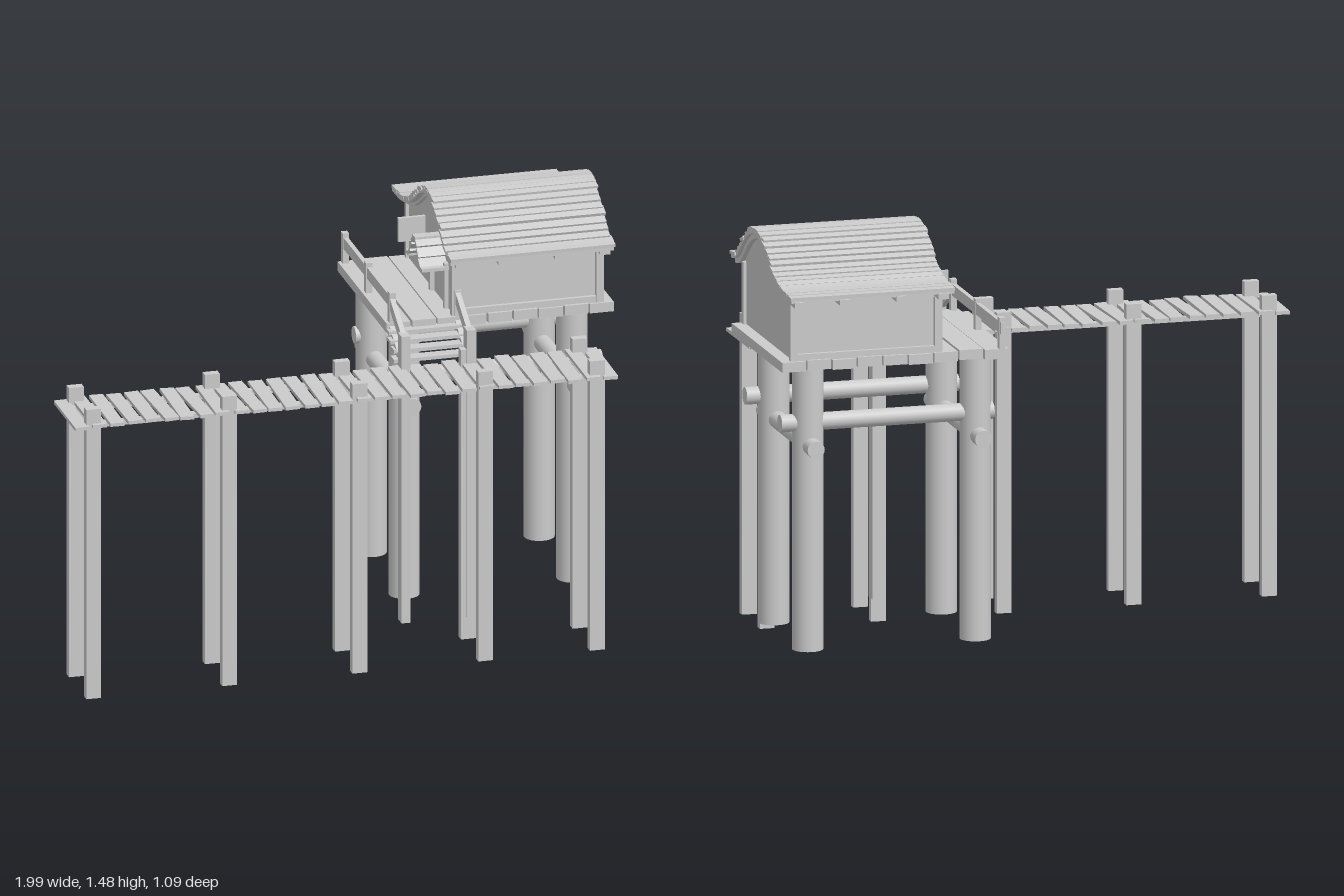
import * as THREE from 'three';

const material = new THREE.MeshStandardMaterial({ color: 0xcccccc, side: THREE.DoubleSide });

// Small repeatable irregularity for the hand-laid boards
let seed = 7;
const jitter = (a) => {
  seed = (seed * 16807) % 2147483647;
  return (seed / 2147483647 - 0.5) * 2 * a;
};

function add(parent, name, geometry, x = 0, y = 0, z = 0) {
  const m = new THREE.Mesh(geometry, material);
  m.name = name;
  m.position.set(x, y, z);
  parent.add(m);
  return m;
}

// Box given by its extents on each axis
function box(parent, name, [x0, x1], [y0, y1], [z0, z1]) {
  return add(parent, name, new THREE.BoxGeometry(x1 - x0, y1 - y0, z1 - z0),
    (x0 + x1) / 2, (y0 + y1) / 2, (z0 + z1) / 2);
}

// Bar in a z-y plane running between two [z, y] points
function slopedBar(parent, name, x, [z0, y0], [z1, y1], width, height) {
  const length = Math.hypot(z1 - z0, y1 - y0);
  const m = add(parent, name, new THREE.BoxGeometry(width, height, length), x, (y0 + y1) / 2, (z0 + z1) / 2);
  m.rotation.x = Math.atan2(-(y1 - y0), z1 - z0);
  return m;
}

// Extrude a [z, y] outline along x
function extrudeX(outline, x0, x1) {
  const shape = new THREE.Shape(outline.map(([z, y]) => new THREE.Vector2(-z, y)));
  return new THREE.ExtrudeGeometry(shape, { depth: x1 - x0, bevelEnabled: false })
    .rotateY(Math.PI / 2).translate(x0, 0, 0);
}

function group(parent, name) {
  const g = new THREE.Group();
  g.name = name;
  parent.add(g);
  return g;
}

// Underside of the swept roof as [z, y], from back eave to front eave
const roofCurve = new THREE.CatmullRomCurve3([
  [-0.54, 1.312], [-0.43, 1.318], [-0.35, 1.338], [-0.27, 1.38], [-0.19, 1.43], [-0.105, 1.455],
  [-0.01, 1.432], [0.06, 1.388], [0.11, 1.345], [0.15, 1.318], [0.2, 1.308],
].map(([z, y]) => new THREE.Vector3(0, y, z)));
const roofPoints = roofCurve.getSpacedPoints(48).map((p) => [p.z, p.y]);

// Band that follows the roof curve between two height offsets
function roofBand(low, high, x0, x1) {
  return extrudeX([
    ...roofPoints.map(([z, y]) => [z, y + low]),
    ...roofPoints.slice().reverse().map(([z, y]) => [z, y + high]),
  ], x0, x1);
}

function buildWalkway(root) {
  const g = group(root, 'walkway');
  for (let i = 0; i < 31; i++) {
    const p = add(g, 'walkwayPlank', new THREE.BoxGeometry(0.049, 0.012, 0.28),
      -0.974 + i * 0.0616, 0.983 + jitter(0.003), 0.395 + jitter(0.004));
    const loose = i > 3 && i < 16 ? 0.05 : 0.01;
    p.rotation.set(jitter(0.012), jitter(loose), jitter(0.04));
  }
  for (const z of [0.31, 0.475]) box(g, 'walkwayBeam', [-0.95, 0.88], [0.962, 0.977], [z - 0.014, z + 0.014]);
  for (const x of [-0.93, -0.455, 0, 0.44, 0.83])
    for (const z of [0.285, 0.505])
      box(g, 'walkwayPost', [x - 0.026, x + 0.026], [0, 1.04], [z - 0.015, z + 0.015]);
}

function buildSupports(root) {
  const g = group(root, 'supports');
  const pile = new THREE.CylinderGeometry(0.053, 0.053, 0.985, 24);
  const logX = new THREE.CylinderGeometry(0.03, 0.03, 0.745, 20).rotateZ(Math.PI / 2);
  const logZ = new THREE.CylinderGeometry(0.03, 0.03, 0.635, 20).rotateX(Math.PI / 2);
  for (const x of [0.29, 0.877]) {
    for (const z of [0.027, -0.39]) add(g, 'pile', pile, x, 0.5725, z);
    add(g, 'sideLog', logZ, x, 0.79, -0.178);
    box(g, 'floorBeam', [x - 0.03, x + 0.03], [1.03, 1.066], [-0.43, 0.07]);
  }
  for (const z of [0.04, -0.39]) add(g, 'crossLog', logX, 0.602, 0.865, z);
}

function buildPlatform(root) {
  const g = group(root, 'platform');
  const count = 9, pitch = 0.8 / count;
  for (let i = 0; i < count; i++) {
    const x = 0.2 + i * pitch, d = jitter(0.004);
    box(g, 'floorPlank', [x, x + pitch - 0.006], [1.064 + d, 1.098 + d], [-0.488 + d, 0.134 + d]);
  }
  // Porch railing
  for (const z of [0.12, -0.18, -0.475]) box(g, 'railPost', [0.211, 0.233], [1.09, 1.205], [z - 0.013, z + 0.013]);
  box(g, 'porchRail', [0.214, 0.23], [1.15, 1.19], [-0.495, 0.13]);
}

function buildStairs(root) {
  const g = group(root, 'stairs');
  for (const x of [0.221, 0.45]) {
    box(g, 'stairPost', [x - 0.016, x + 0.016], [0.08, 1.11], [0.257, 0.305]);
    slopedBar(g, 'stringer', x, [0.265, 0.99], [0.125, 1.072], 0.022, 0.035);
    slopedBar(g, 'handrail', x, [0.28, 1.083], [0.12, 1.17], 0.018, 0.036);
  }
  box(g, 'handrailPost', [0.44, 0.462], [1.09, 1.19], [0.107, 0.132]);
  for (let i = 0; i < 4; i++) {
    const z = 0.235 - i * 0.031, y = 1.0 + i * 0.022;
    box(g, 'tread', [0.195 + jitter(0.006), 0.465 + jitter(0.006)], [y, y + 0.012], [z - 0.022, z + 0.022]);
  }
}

function buildHut(root) {
  const g = group(root, 'hut');
  // Walls with curved gables
  const top = roofPoints.filter(([z]) => z > -0.46 && z < 0.108);
  const [zBack, zFront] = [-0.462, 0.11];
  add(g, 'walls', extrudeX([[zBack, 1.095], ...[[zBack, 1.312]], ...top, [zFront, 1.34], [zFront, 1.095]], 0.44, 0.95));
  for (const x of [0.443, 0.948])
    for (const z of [0.114, -0.465])
      box(g, 'cornerPost', [x - 0.013, x + 0.013], [1.095, 1.312], [z - 0.012, z + 0.012]);
  for (const z of [0.114, -0.466]) {
    box(g, 'sillBeam', [0.44, 0.95], [1.095, 1.12], [z - 0.01, z + 0.01]);
    box(g, 'plateBeam', [0.44, 0.95], [1.29, 1.312], [z - 0.01, z + 0.01]);
  }
  // Doorway frame and open shutter on the porch side
  for (const z of [-0.14, 0.04]) box(g, 'doorJamb', [0.425, 0.445], [1.095, 1.26], [z - 0.01, z + 0.01]);
  box(g, 'shutter', [0.345, 0.44], [1.24, 1.325], [-0.258, -0.244]);
  // Small arched awning over the doorway
  const awning = group(g, 'awning');
  for (let i = 0; i < 9; i++) {
    const t = -1 + i / 4;
    const p = add(awning, 'awningBoard', new THREE.BoxGeometry(0.095, 0.012, 0.036),
      0.3925, 1.285 + 0.042 * Math.cos(t * Math.PI), -0.05 + t * 0.085);
    p.rotation.x = 0.8 * Math.atan(0.042 * Math.PI / 0.085 * Math.sin(t * Math.PI));
  }
}

function buildRoof(root) {
  const g = group(root, 'roof');
  add(g, 'roofDeck', roofBand(0, 0.014, 0.405, 0.977));
  for (const x of [0.445, 0.592, 0.79, 0.948]) {
    const r = add(g, 'rafter', roofBand(-0.016, 0.004, x - 0.018, x + 0.018));
    r.position.z = -0.008;
  }
  // Overlapping boards, lying flatter than the slope so that they step
  const count = 28;
  for (let i = 0; i < count; i++) {
    const u = (i + 0.5) / count;
    const p = roofCurve.getPointAt(u), t = roofCurve.getTangentAt(u);
    const lean = p.z < -0.36 ? 1 : 0.55;
    const b = add(g, 'roofBoard', new THREE.BoxGeometry(0.576, 0.011, 0.04),
      0.691 + jitter(0.004), p.y + 0.017 + jitter(0.002), p.z);
    b.rotation.x = lean * Math.atan2(-t.y, t.z);
  }
}

export function createModel() {
  const root = new THREE.Group();
  root.name = 'stiltHut';
  buildWalkway(root);
  buildSupports(root);
  buildPlatform(root);
  buildStairs(root);
  buildHut(root);
  buildRoof(root);
  return root;
}
